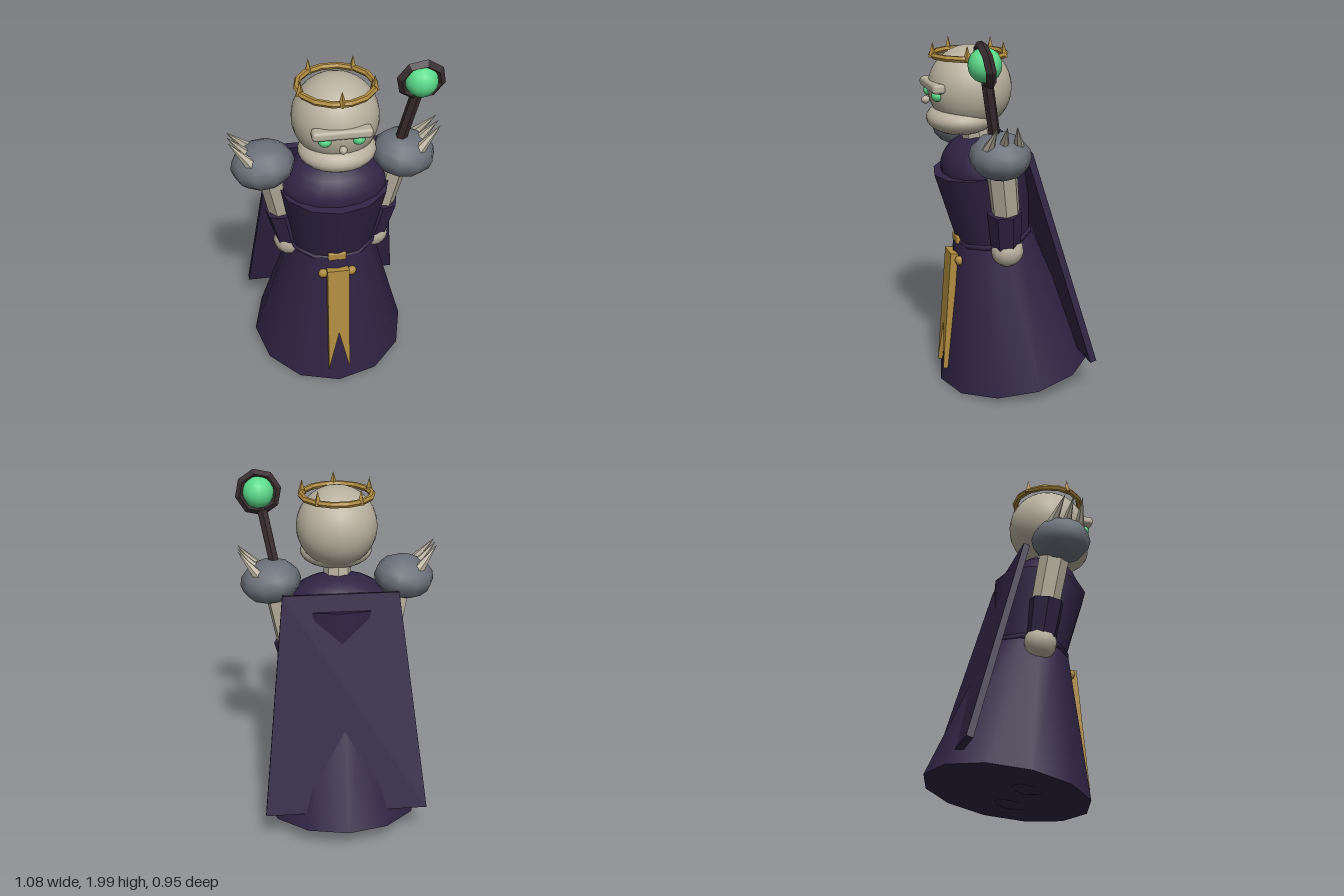
import * as THREE from 'three';
import { RoundedBoxGeometry } from 'three/addons/geometries/RoundedBoxGeometry.js';

const mat = (name, color) => {
  const m = new THREE.MeshStandardMaterial({ color });
  m.name = name;
  return m;
};

// Faceted copy of a geometry
const flat = (g) => {
  const f = g.index ? g.toNonIndexed() : g;
  f.computeVertexNormals();
  return f;
};

const UP = new THREE.Vector3(0, 1, 0);

export function createModel() {
  const cloth = mat('purple cloth', 0x302444);
  const bone = mat('bone', 0xb8b09e);
  const gold = mat('gold', 0xb08c40);
  const steel = mat('steel', 0x6b717a);
  const glow = mat('green glow', 0x5cdb8b);
  const wood = mat('dark wood', 0x392c2f);

  const root = new THREE.Group();
  root.name = 'robedKing';

  const add = (name, geo, material, pos = [0, 0, 0], parent = root) => {
    const m = new THREE.Mesh(geo, material);
    m.name = name;
    m.position.set(...pos);
    parent.add(m);
    return m;
  };
  const ball = (name, radii, material, pos, parent = root, w = 20, h = 14) => {
    const m = add(name, new THREE.SphereGeometry(1, w, h), material, pos, parent);
    m.scale.set(...radii);
    return m;
  };
  // Tapered rod from point a to point b
  const rod = (name, a, b, ra, rb, sides, material) => {
    const A = new THREE.Vector3(...a), B = new THREE.Vector3(...b);
    const d = B.clone().sub(A);
    const geo = flat(new THREE.CylinderGeometry(rb, ra, d.length(), sides));
    const m = add(name, geo, material, A.clone().add(B).multiplyScalar(0.5).toArray());
    m.quaternion.setFromUnitVectors(UP, d.normalize());
    return m;
  };

  // Robe, leaning forward
  const robe = new THREE.Group();
  robe.name = 'robe';
  robe.position.set(0, 0.074, -0.035);
  robe.rotation.x = 0.158;
  root.add(robe);
  add('skirt', new THREE.CylinderGeometry(0.22, 0.443, 0.81, 12), cloth, [0, 0.405, 0], robe);
  const torso = add('torso', new THREE.CylinderGeometry(0.3, 0.235, 0.4, 12), cloth, [0, 1.005, 0], robe);
  torso.scale.z = 0.87;
  ball('shoulderCowl', [0.288, 0.18, 0.215], cloth, [0, 1.2, 0], robe, 16, 12);
  const belt = add('belt', new THREE.TorusGeometry(0.237, 0.015, 6, 12), cloth, [0, 0.805, 0], robe);
  belt.rotation.x = Math.PI / 2;
  belt.scale.y = 0.87;

  // Buckle, hanging banner and its studs
  add('buckle', new RoundedBoxGeometry(0.1, 0.05, 0.04, 1, 0.01), gold, [0, 0.853, 0.288]);
  const bannerShape = new THREE.Shape([[-0.06, 0], [0, 0.26], [0.06, 0], [0.06, 0.687], [-0.06, 0.687]]
    .map(([x, y]) => new THREE.Vector2(x, y)));
  const bannerGeo = new THREE.ExtrudeGeometry(bannerShape, { depth: 0.04, bevelEnabled: false });
  const banner = add('banner', bannerGeo.translate(0, 0, -0.04), gold, [0, 0.1, 0.403]);
  banner.rotation.x = -0.083;

  // Cape: a slanted trapezoid slab
  const capeShape = new THREE.Shape([[-0.45, 0], [0.45, 0], [0.315, 1.222], [-0.315, 1.222]]
    .map(([x, y]) => new THREE.Vector2(x, y)));
  const cape = add('cape', new THREE.ExtrudeGeometry(capeShape, { depth: 0.036, bevelEnabled: false }),
    cloth, [0, 0.213, -0.365]);
  cape.rotation.x = 0.276;

  // Head
  rod('neck', [0, 1.36, 0.165], [0, 1.53, 0.2], 0.075, 0.075, 8, bone);
  ball('skull', [0.222, 0.222, 0.222], bone, [0, 1.69, 0.21], root, 28, 20);
  ball('jaw', [0.2, 0.088, 0.18], bone, [0, 1.532, 0.265], root, 24, 14);
  add('brow', new RoundedBoxGeometry(0.3, 0.05, 0.07, 1, 0.018), bone, [0, 1.712, 0.412]);
  ball('nose', [0.021, 0.021, 0.024], bone, [0, 1.637, 0.45], root, 8, 6);

  // Crown with five points
  const crown = new THREE.Group();
  crown.name = 'crown';
  crown.position.set(0, 1.865, 0.215);
  root.add(crown);
  add('crownBand', flat(new THREE.TorusGeometry(0.192, 0.017, 6, 14)), gold, [0, 0, 0], crown).rotation.x = Math.PI / 2;
  for (let i = 0; i < 5; i++) {
    const a = (i / 5) * Math.PI * 2;
    const p = add('crownPoint', flat(new THREE.ConeGeometry(0.023, 0.08, 4)), gold,
      [Math.sin(a) * 0.192, 0.03, Math.cos(a) * 0.192], crown);
    p.rotation.y = a;
  }

  // Paired parts
  for (const s of [-1, 1]) {
    const side = s > 0 ? 'left' : 'right';
    ball(side + 'Eye', [0.034, 0.03, 0.032], glow, [s * 0.083, 1.67, 0.408], root, 12, 8);
    ball(side + 'BannerStud', [0.03, 0.028, 0.025], gold, [s * 0.078, 0.748, 0.305], root, 6, 4);
    ball(side + 'Foot', [0.09, 0.06, 0.12], cloth, [s * 0.15, 0.1, 0.05], root, 8, 6);

    const pad = ball(side + 'ShoulderPad', [0.168, 0.12, 0.16], steel, [s * 0.368, 1.402, 0.162], root, 10, 8);
    pad.rotation.z = -s * 0.12;
    for (const k of [-1, 0, 1]) {
      rod(side + 'PadSpike', [s * 0.425, 1.45, 0.165 + k * 0.08], [s * 0.54, 1.588, 0.18 + k * 0.05],
        0.034, 0.001, 6, bone);
    }

    rod(side + 'UpperArm', [s * 0.33, 1.4, 0.15], [s * 0.268, 1.06, 0.1], 0.085, 0.078, 7, bone);
    rod(side + 'Sleeve', [s * 0.272, 1.075, 0.108], [s * 0.232, 0.875, 0.088], 0.094, 0.082, 7, cloth);
    ball(side + 'Hand', [0.087, 0.087, 0.09], bone, [s * 0.235, 0.838, 0.08], root, 12, 8);
  }

  // Staff held in the left hand
  const tip = [0.417, 1.876, 0.255];
  const shaft = rod('staffShaft', [0.215, 0.8, 0.05], tip, 0.03, 0.03, 6, wood);
  const ring = add('staffRing', flat(new THREE.TorusGeometry(0.1, 0.026, 4, 8)), wood, tip);
  ring.quaternion.copy(shaft.quaternion);
  ball('staffGem', [0.086, 0.086, 0.086], glow, tip, root, 12, 10);

  return root;
}
